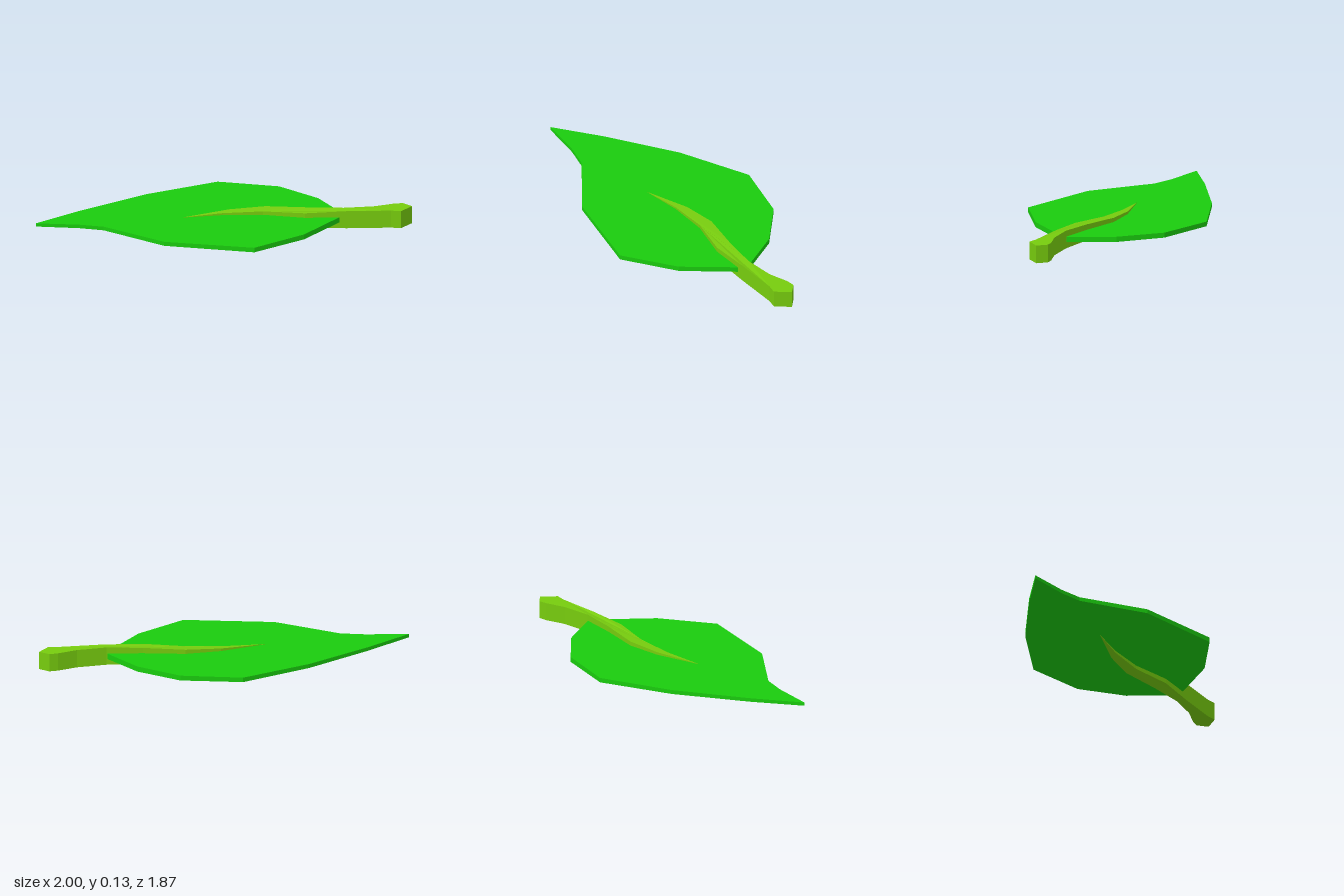
import * as THREE from 'three';

const MID = 0.066; // height of the middle plane

// Slab with an outline in x, z and a half thickness that varies over the plan.
function slab(name, outline, half, color) {
  const shape = new THREE.Shape(outline.map(([x, z]) => new THREE.Vector2(x, -z)));
  const geometry = new THREE.ExtrudeGeometry(shape, { depth: 2, bevelEnabled: false });
  geometry.rotateX(-Math.PI / 2).translate(0, -1, 0);
  const p = geometry.attributes.position;
  for (let i = 0; i < p.count; i++) {
    p.setY(i, MID + p.getY(i) * half(p.getX(i), p.getZ(i)));
  }
  geometry.computeVertexNormals();
  const mesh = new THREE.Mesh(geometry, new THREE.MeshStandardMaterial({ color, flatShading: true }));
  mesh.name = name;
  return mesh;
}

export function createModel() {
  const model = new THREE.Group();
  model.name = 'leaf';

  // Blade: thin at the pointed tip, slightly thicker towards the stem
  const blade = [
    [-1, -0.94], [-0.81, -0.69], [-0.72, -0.53], [-0.65, 0], [-0.3, 0.565], [0.14, 0.65],
    [0.61, 0.6], [0.64, 0.57], [0.745, 0.23], [0.73, -0.14], [0.5, -0.535], [-0.03, -0.745], [-0.6, -0.875],
  ];
  model.add(slab('blade', blade,
    (x, z) => THREE.MathUtils.mapLinear(x + z, -1.94, 1.2, 0.0125, 0.02), 0x1acc0e));

  // Stem: tapers along the blade, full height beyond its edge
  const stem = [
    [-0.2, -0.23], [0.03, -0.05], [0.23, 0.16], [0.39, 0.43], [0.6, 0.64], [0.83, 0.87], [0.87, 0.93],
    [1, 0.92], [1, 0.83], [0.95, 0.79], [0.81, 0.72], [0.64, 0.58], [0.48, 0.37], [0.31, 0.11], [0.11, -0.06],
  ];
  model.add(slab('stem', stem,
    (x) => Math.min(MID, THREE.MathUtils.mapLinear(x, -0.2, 0.58, 0.018, MID)), 0x77cc0e));

  return model;
}
